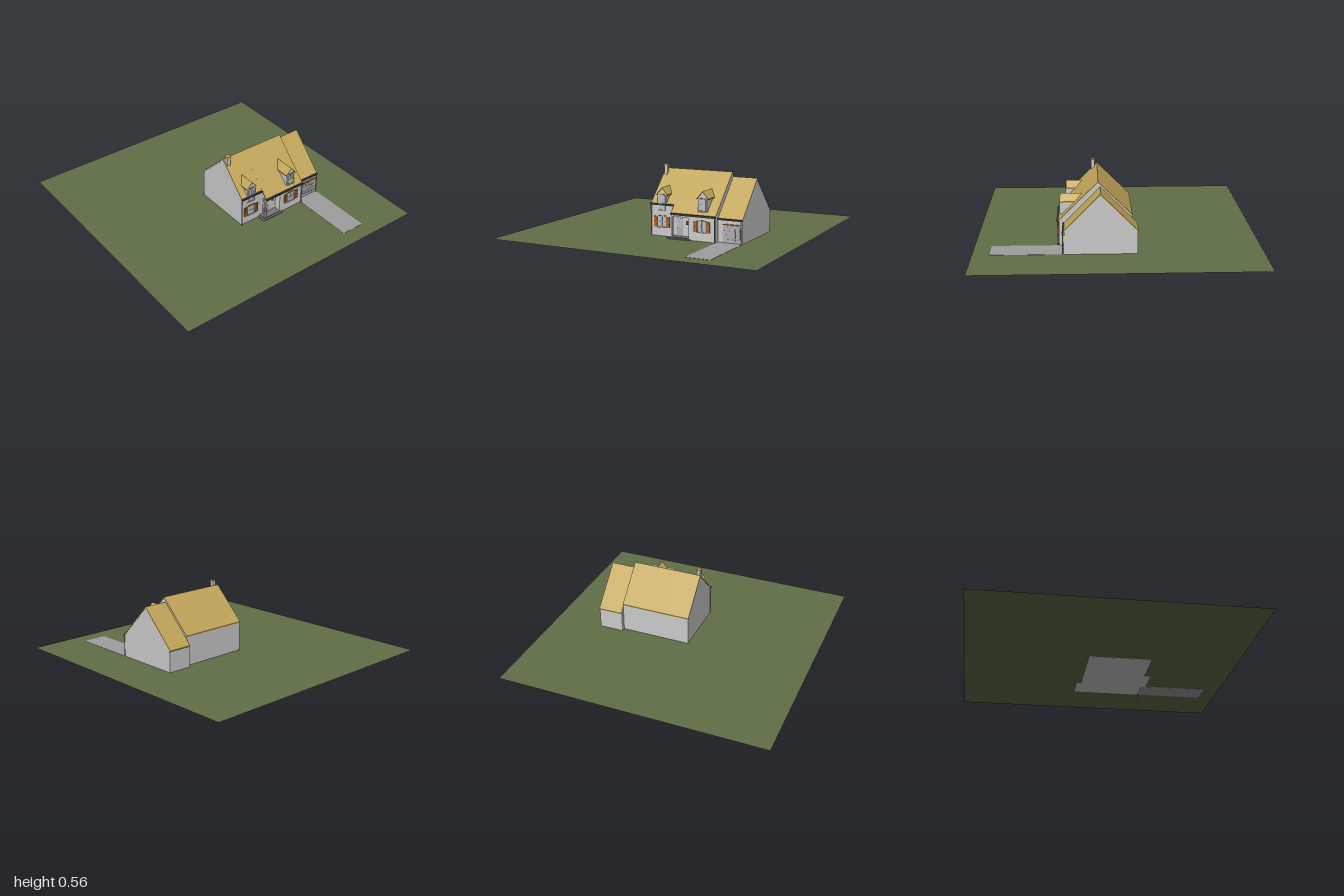
import * as THREE from 'three';

const G = 0.072; // ground level
const mat = (color, side = THREE.FrontSide) => new THREE.MeshStandardMaterial({ color, side, flatShading: true });

export function createModel() {
  const root = new THREE.Group();
  const M = {
    wall: mat(0xcccccc), roof: mat(0xc2a65a), grass: mat(0x5f7048, THREE.DoubleSide), drive: mat(0xa09e9f),
    dark: mat(0x3c3c3c), shutter: mat(0xb06a30), glass: mat(0xb4c0c8), door: mat(0xb0aeb2), step: mat(0x77777a),
    pipe: mat(0x8c8c8c),
  };

  const add = (name, geo, m, parent = root) => {
    const mesh = new THREE.Mesh(geo, m);
    mesh.name = name;
    parent.add(mesh);
    return mesh;
  };
  // box given by its extents
  const box = (name, x0, x1, y0, y1, z0, z1, m, parent) =>
    add(name, new THREE.BoxGeometry(x1 - x0, y1 - y0, z1 - z0)
      .translate((x0 + x1) / 2, (y0 + y1) / 2, (z0 + z1) / 2), m, parent);
  // (z, y) outline swept along x
  const sweepX = (name, pts, x0, x1, m, parent) => {
    const shape = new THREE.Shape(pts.map(p => new THREE.Vector2(p[0], p[1])));
    const geo = new THREE.ExtrudeGeometry(shape, { depth: x1 - x0, bevelEnabled: false });
    return add(name, geo.rotateY(-Math.PI / 2).translate(x1, 0, 0), m, parent);
  };
  // gabled walls: back z/y, ridge z/y, front z/y
  const gable = (name, x0, x1, [zb, yb], [zr, yr], [zf, yf]) =>
    sweepX(name, [[zb, G - 0.0015], [zf, G - 0.0015], [zf, yf], [zr, yr], [zb, yb]], x0, x1, M.wall);
  const roof = (name, x0, x1, [zb, yb], [zr, yr], [zf, yf], t = 0.009) =>
    sweepX(name, [[zb, yb - t], [zb, yb], [zr, yr], [zf, yf], [zf, yf - t], [zr, yr - t]].reverse(), x0, x1, M.roof);

  // ground and driveway
  add('lawn', new THREE.PlaneGeometry(2, 2).rotateX(-Math.PI / 2).translate(0, G, 0), M.grass);
  box('driveway', 0.455, 0.637, G - 0.0015, G + 0.0015, 0.37, 0.88, M.drive);

  // main house walls, projecting front bay and garage
  gable('mainWalls', -0.072, 0.453, [-0.098, 0.291], [0.137, 0.525], [0.36, 0.302]);
  gable('frontBayWalls', 0.245, 0.453, [0.1, 0.488], [0.137, 0.525], [0.41, 0.254]);
  gable('garageWalls', 0.453, 0.636, [-0.13, 0.236], [0.122, 0.492], [0.372, 0.238]);

  // roofs
  roof('mainRoofLeft', -0.075, 0.11, [-0.102, 0.293], [0.137, 0.532], [0.367, 0.302]);
  roof('mainRoofRight', 0.11, 0.455, [-0.102, 0.293], [0.137, 0.532], [0.42, 0.25]);
  roof('garageRoof', 0.455, 0.638, [-0.138, 0.233], [0.122, 0.497], [0.377, 0.237]);

  // gutters and downspouts
  box('gutterLeft', -0.077, 0.11, 0.294, 0.306, 0.362, 0.374, M.dark);
  box('gutterRight', 0.108, 0.457, 0.244, 0.256, 0.414, 0.426, M.dark);
  box('gutterGarage', 0.455, 0.638, 0.23, 0.241, 0.372, 0.385, M.dark);
  for (const [x, z, y0, y1] of [[-0.073, 0.366, G, 0.3], [0.45, 0.418, G, 0.25], [0.63, 0.382, 0, 0.235]])
    add('downspout', new THREE.CylinderGeometry(0.004, 0.004, y1 - y0, 8).translate(x, (y0 + y1) / 2, z), M.pipe);

  // recessed porch
  const porch = new THREE.Group();
  porch.name = 'porch';
  root.add(porch);
  box('porchBeam', 0.11, 0.246, 0.23, 0.246, 0.398, 0.41, M.wall, porch);
  box('porchPost', 0.11, 0.122, G, 0.235, 0.398, 0.41, M.wall, porch);
  box('lowerStep', 0.085, 0.26, G, G + 0.007, 0.36, 0.428, M.step, porch);
  box('upperStep', 0.1, 0.245, G + 0.007, G + 0.014, 0.36, 0.415, M.step, porch);

  // front door with panels, and a side light
  box('doorFrame', 0.125, 0.187, 0.086, 0.225, 0.36, 0.365, M.wall, porch);
  box('frontDoor', 0.132, 0.18, 0.086, 0.218, 0.362, 0.367, M.door, porch);
  for (const x of [0.137, 0.159])
    for (const [y0, y1] of [[0.095, 0.14], [0.15, 0.21]])
      box('doorPanel', x, x + 0.016, y0, y1, 0.366, 0.369, y0 > 0.14 ? M.glass : M.door, porch);
  box('porchLamp', 0.208, 0.218, 0.17, 0.195, 0.36, 0.37, M.shutter, porch);

  // paned window centred at x, with sill
  const windowAt = (name, x, z, w, y0, y1, parent = root) => {
    const g = new THREE.Group();
    g.name = name;
    parent.add(g);
    const h = w / 2, ym = (y0 + y1) / 2, b = 0.004;
    box('pane', x - h, x + h, y0, y1, z, z + 0.003, M.glass, g);
    for (const s of [-h, 0, h]) box('windowBar', x + s - b / 2, x + s + b / 2, y0, y1, z, z + 0.006, M.wall, g);
    for (const y of [y0, ym, y1]) box('windowRail', x - h, x + h, y - b / 2, y + b / 2, z, z + 0.006, M.wall, g);
    box('sill', x - h - 0.003, x + h + 0.003, y0 - 0.005, y0, z, z + 0.01, M.wall, g);
    return g;
  };

  // ground-floor windows with shutters and lintel
  for (const [x, z] of [[0.013, 0.36], [0.349, 0.41]]) {
    const g = windowAt('shutteredWindow', x, z, 0.06, 0.138, 0.212);
    box('lintel', x - 0.028, x + 0.028, 0.214, 0.22, z, z + 0.008, M.shutter, g);
    for (const s of [-1, 1]) {
      const c = x + s * 0.048;
      box('shutter', c - 0.015, c + 0.015, 0.136, 0.213, z, z + 0.007, M.shutter, g);
      for (let i = 0; i < 6; i++)
        box('shutterSlat', c - 0.011, c + 0.011, 0.142 + i * 0.0115, 0.147 + i * 0.0115, z, z + 0.009, M.shutter, g);
    }
  }

  // dormers: gabled body, pitched roof and window
  const dormer = (x, zFront, yBase) => {
    const g = new THREE.Group();
    g.name = 'dormer';
    root.add(g);
    const hw = 0.035, he = 0.043, eave = 0.372, peak = 0.422, t = 0.008, zBack = 0.245;
    const extrude = (name, pts, z0, z1, m) => add(name, new THREE.ExtrudeGeometry(
      new THREE.Shape(pts.map(p => new THREE.Vector2(x + p[0], p[1]))),
      { depth: z1 - z0, bevelEnabled: false }).translate(0, 0, z0), m, g);
    extrude('dormerWalls', [[-hw, yBase], [hw, yBase], [hw, eave], [0, peak - t], [-hw, eave]], zBack + 0.01, zFront - 0.004, M.wall);
    extrude('dormerRoof', [[-he, eave - t], [0, peak - t], [he, eave - t], [he, eave], [0, peak], [-he, eave]], zBack, zFront, M.roof);
    windowAt('dormerWindow', x, zFront - 0.004, 0.048, yBase + 0.012, 0.365, g);
    box('dormerLintel', x - 0.02, x + 0.02, 0.368, 0.374, zFront - 0.005, zFront + 0.003, M.shutter, g);
  };
  dormer(0.013, 0.367, 0.25);
  dormer(0.349, 0.403, 0.276);

  // chimney with cap
  box('chimney', -0.066, -0.04, 0.47, 0.56, 0.155, 0.181, M.wall);
  box('chimneyCap', -0.07, -0.036, 0.557, 0.565, 0.151, 0.185, M.roof);

  // sectional garage door
  box('garageFrame', 0.484, 0.63, G, 0.202, 0.372, 0.375, M.wall);
  box('garageDoor', 0.492, 0.622, G, 0.196, 0.373, 0.377, M.door);
  for (let r = 0; r < 4; r++)
    for (let c = 0; c < 4; c++)
      box('garagePanel', 0.497 + c * 0.031, 0.524 + c * 0.031, 0.077 + r * 0.03, 0.101 + r * 0.03, 0.376, 0.379, M.door);
  box('garageLintel', 0.49, 0.624, 0.197, 0.204, 0.372, 0.381, M.shutter);

  return root;
}
